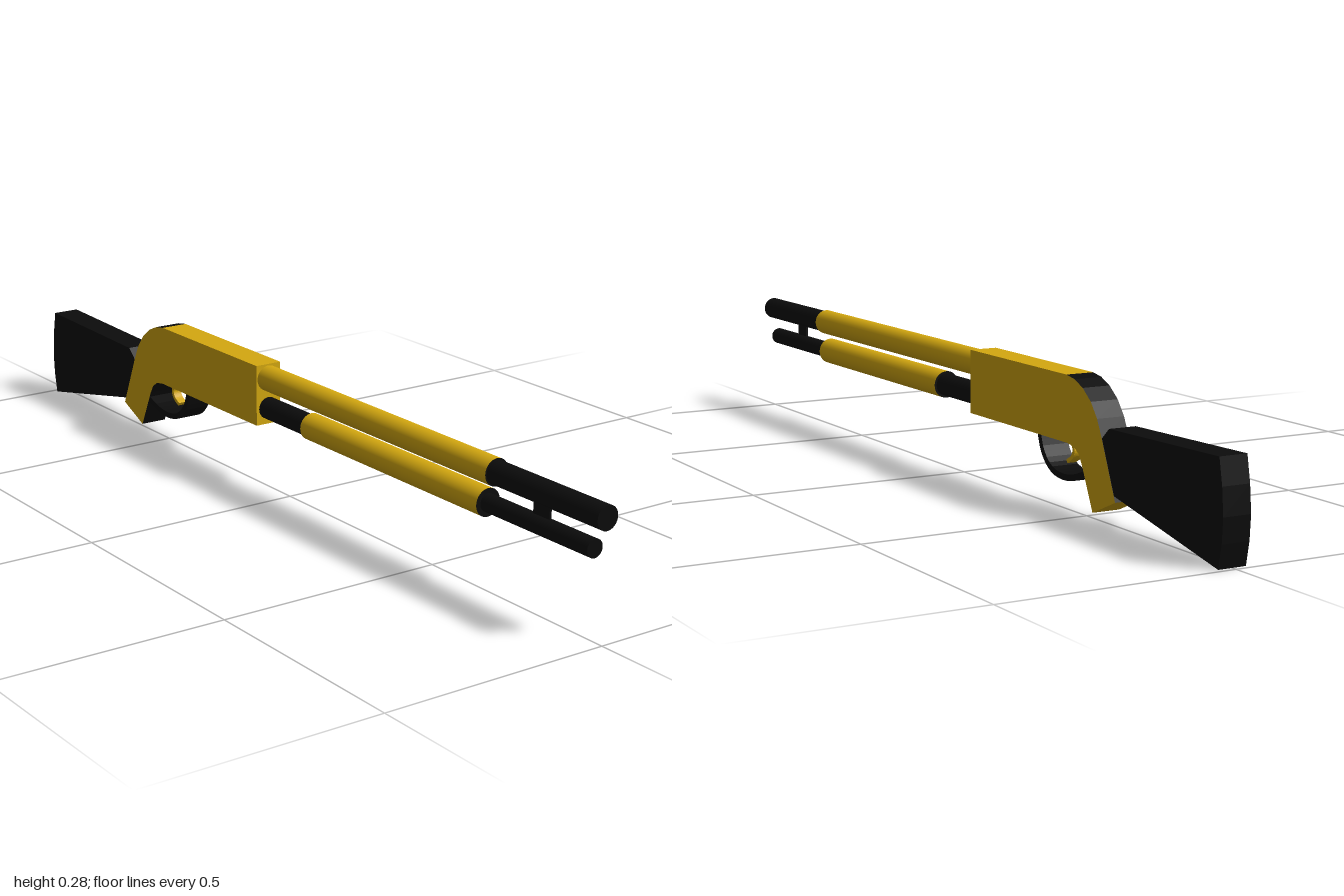
import * as THREE from 'three';

const gold = new THREE.MeshStandardMaterial({ color: 0xd4a810 });
gold.name = 'gold';
const black = new THREE.MeshStandardMaterial({ color: 0x0c0c0c });
black.name = 'black';

// Side outline given as [z, y] points, extruded across x and centred
function slab(points, width) {
  const shape = new THREE.Shape(points.map(([z, y]) => new THREE.Vector2(z, y)));
  const geo = new THREE.ExtrudeGeometry(shape, { depth: width, bevelEnabled: false });
  geo.translate(0, 0, -width / 2);
  geo.rotateY(-Math.PI / 2);
  return geo;
}

// Curved strip between two arcs, from a centre line of [z, y] points
function strip(points, thickness, width) {
  const curve = new THREE.CatmullRomCurve3(points.map(([z, y]) => new THREE.Vector3(z, y, 0)));
  const outer = [], inner = [];
  for (let i = 0; i <= 14; i++) {
    const p = curve.getPoint(i / 14), t = curve.getTangent(i / 14);
    const h = thickness / 2;
    outer.push([p.x - t.y * h, p.y + t.x * h]);
    inner.unshift([p.x + t.y * h, p.y - t.x * h]);
  }
  return slab([...outer, ...inner], width);
}

export function createModel() {
  const model = new THREE.Group();
  const add = (name, geo, mat) => {
    const mesh = new THREE.Mesh(geo, mat);
    mesh.name = name;
    model.add(mesh);
  };
  const rod = (name, radius, y, z0, z1, side) => {
    const geo = new THREE.CylinderGeometry(radius, radius, z1 - z0, 32);
    geo.rotateX(Math.PI / 2);
    geo.translate(0, y, (z0 + z1) / 2);
    add(name, geo, [side, black, black]);
  };

  // Upper and lower tubes with their sleeves
  rod('barrel', 0.025, 0.252, 0.6, 1, black);
  rod('barrelSleeve', 0.0285, 0.252, -0.1, 0.69, gold);
  rod('magazineTube', 0.019, 0.184, 0.6, 0.97, black);
  rod('magazineRear', 0.0245, 0.184, -0.1, 0.1, black);
  rod('pumpGrip', 0.0295, 0.184, 0.08, 0.667, gold);

  // Thin bridge between the tubes
  add('tubeBridge', new THREE.BoxGeometry(0.005, 0.05, 0.046).translate(0, 0.216, 0.824), black);

  // Receiver and grip in one outline
  const receiver = slab([
    [-0.083, 0.148], [-0.083, 0.284], [-0.47, 0.284], [-0.5, 0.279], [-0.53, 0.266],
    [-0.56, 0.243], [-0.583, 0.213], [-0.6, 0.178], [-0.65, 0.06], [-0.57, 0.025],
    [-0.53, 0.112], [-0.518, 0.132], [-0.5, 0.144], [-0.475, 0.148],
  ], 0.062);
  // Back strap and front strap are black, the rest is gold
  receiver.clearGroups();
  const pos = receiver.attributes.position, nor = receiver.attributes.normal;
  for (let i = 0; i < pos.count; i += 3) {
    const z = (pos.getZ(i) + pos.getZ(i + 1) + pos.getZ(i + 2)) / 3;
    const back = nor.getZ(i) < -0.1 && nor.getY(i) > 0.1;
    const front = nor.getZ(i) > 0.3 && z < -0.4;
    receiver.addGroup(i, 3, back || front ? 1 : 0);
  }
  add('receiver', receiver, [gold, black]);

  // Shoulder stock with a slightly bowed butt
  add('stock', slab([
    [-0.59, 0.168], [-0.625, 0.2], [-0.985, 0.208], [-0.995, 0.155], [-1, 0.1],
    [-0.997, 0.05], [-0.988, 0.002], [-0.645, 0.072], [-0.6, 0.11],
  ], 0.061), black);

  // Trigger guard and trigger
  add('triggerGuard', strip([
    [-0.366, 0.15], [-0.38, 0.115], [-0.41, 0.087], [-0.45, 0.077], [-0.495, 0.081], [-0.545, 0.098],
  ], 0.013, 0.06), black);
  add('trigger', strip([
    [-0.455, 0.15], [-0.465, 0.13], [-0.459, 0.115], [-0.44, 0.103],
  ], 0.008, 0.02), gold);

  return model;
}
